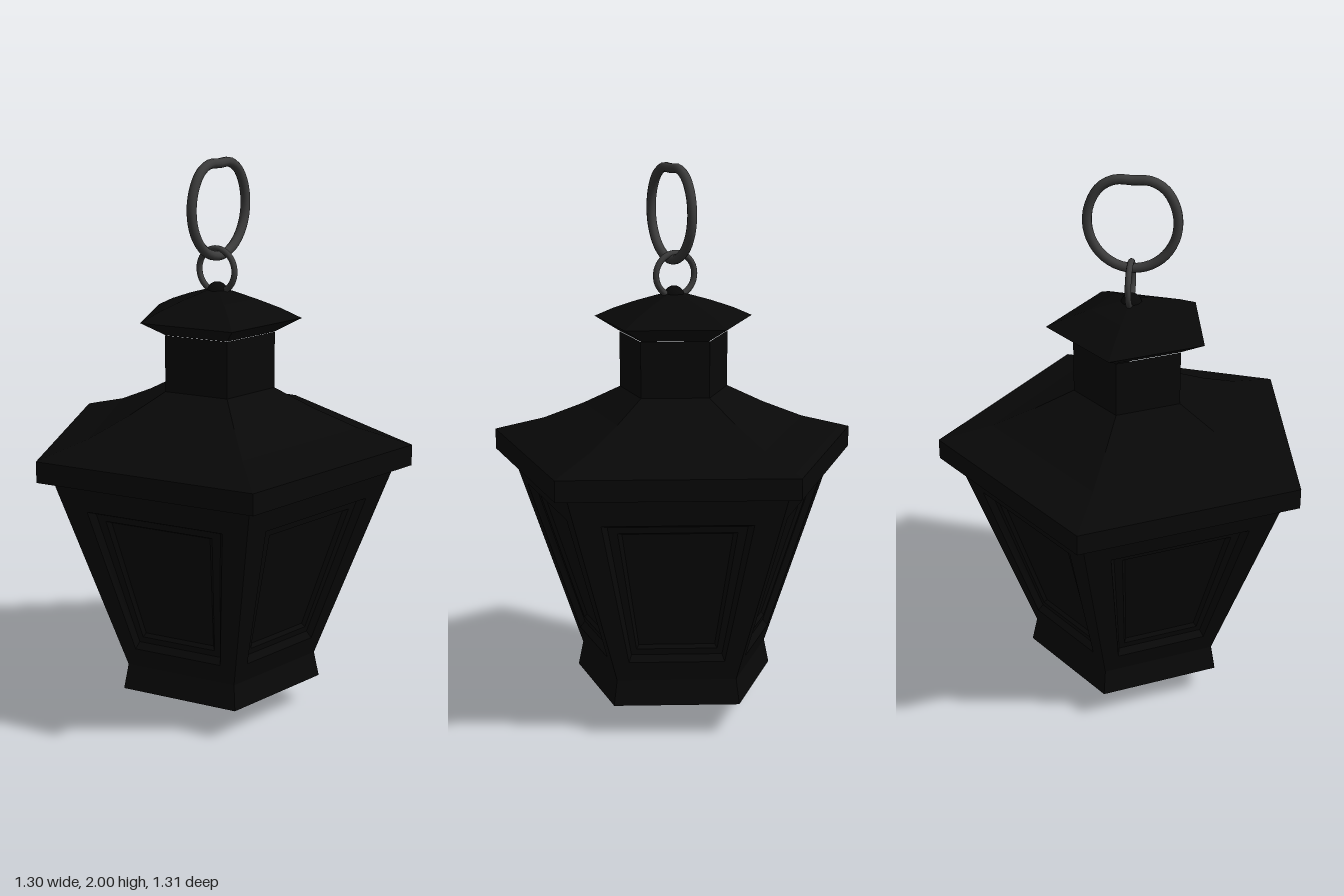
import * as THREE from 'three';

const CX = 0.036, CZ = 0.028;        // vertical axis of the lantern
const SIDES = 5, START = THREE.MathUtils.degToRad(46);

const blackIron = new THREE.MeshStandardMaterial({ color: 0x080808 });
const greyIron = new THREE.MeshStandardMaterial({ color: 0x3c3c3c });

// Five-sided solid from a [radius, height] profile, bottom to top, flat faces
function pentagonal(name, profile) {
  const points = profile.map(([r, y]) => new THREE.Vector2(r, y));
  const geo = new THREE.LatheGeometry(points, SIDES, START).toNonIndexed();
  geo.computeVertexNormals();
  const mesh = new THREE.Mesh(geo, blackIron);
  mesh.name = name;
  return mesh;
}

const corner = (i, r, y) => {
  const a = START + (i * Math.PI * 2) / SIDES;
  return new THREE.Vector3(r * Math.sin(a), y, r * Math.cos(a));
};

// One sloping wall: frame, bevelled recess, inner step and pane as nested loops
function wallPanel(i) {
  const y0 = 0.205, y1 = 0.89, r0 = 0.36, r1 = 0.617;
  const a = corner(i, r0, y0), b = corner(i + 1, r0, y0);
  const c = corner(i + 1, r1, y1), d = corner(i, r1, y1);
  const normal = b.clone().sub(a).cross(d.clone().sub(a)).normalize();
  const at = (u, v, depth) => a.clone().lerp(b, u)
    .lerp(d.clone().lerp(c, u), v).addScaledVector(normal, -depth);
  // [side margin, bottom margin, top margin, depth]
  const loops = [
    [0, 0, 0, 0], [0.13, 0.11, 0.09, 0], [0.155, 0.135, 0.115, 0.022],
    [0.20, 0.17, 0.15, 0.022], [0.22, 0.185, 0.165, 0.034],
  ].map(([s, lo, hi, depth]) => [
    at(s, lo, depth), at(1 - s, lo, depth), at(1 - s, 1 - hi, depth), at(s, 1 - hi, depth),
  ]);
  const pos = [];
  const quad = (p, q, r, s) => [p, q, r, p, r, s].forEach((v) => pos.push(v.x, v.y, v.z));
  for (let k = 0; k < loops.length - 1; k++) {
    for (let j = 0; j < 4; j++) {
      const n = (j + 1) % 4;
      quad(loops[k][j], loops[k][n], loops[k + 1][n], loops[k + 1][j]);
    }
  }
  quad(...loops[loops.length - 1]);
  const geo = new THREE.BufferGeometry();
  geo.setAttribute('position', new THREE.Float32BufferAttribute(pos, 3));
  geo.computeVertexNormals();
  const mesh = new THREE.Mesh(geo, blackIron);
  mesh.name = 'wallPanel' + (i + 1);
  return mesh;
}

// Closed wire ring through points given by an angle
function ring(name, pointAt, radius) {
  const pts = Array.from({ length: 16 }, (_, i) => pointAt((i / 16) * Math.PI * 2));
  const curve = new THREE.CatmullRomCurve3(pts, true);
  const mesh = new THREE.Mesh(new THREE.TubeGeometry(curve, 48, radius, 10, true), greyIron);
  mesh.name = name;
  return mesh;
}

export function createModel() {
  const model = new THREE.Group();
  model.name = 'hangingLantern';

  const body = new THREE.Group();
  body.name = 'lanternBody';
  body.position.set(CX, 0, CZ);
  model.add(body);

  // Pointed foot and flared base
  body.add(pentagonal('foot', [[0, 0], [0.15, 0.045], [0.175, 0.085], [0.21, 0.115]]));
  body.add(pentagonal('base', [[0.2, 0.115], [0.379, 0.115], [0.36, 0.205]]));

  // Five tapered walls with recessed panes
  for (let i = 0; i < SIDES; i++) body.add(wallPanel(i));

  // Moulding, eave and sweeping roof
  body.add(pentagonal('moulding', [[0.617, 0.89], [0.628, 0.92], [0.65, 0.935]]));
  body.add(pentagonal('roof', [
    [0.64, 0.935], [0.694, 0.935], [0.694, 1.01], [0.66, 1.02],
    [0.5, 1.065], [0.345, 1.13], [0.204, 1.2],
  ]));

  // Chimney and its cap
  body.add(pentagonal('chimney', [[0.204, 1.2], [0.204, 1.4]]));
  body.add(pentagonal('chimneyCap', [
    [0.2, 1.4], [0.298, 1.452], [0.225, 1.485], [0.14, 1.515], [0.04, 1.545], [0, 1.55],
  ]));

  // Knob that holds the hanging rings
  const knob = new THREE.Mesh(new THREE.SphereGeometry(0.038, 16, 10), blackIron);
  knob.name = 'knob';
  knob.position.y = 1.535;
  body.add(knob);

  // Small link facing front, large hanging ring facing sideways with a flattened top
  model.add(ring('smallLink', (t) => new THREE.Vector3(
    0.032 + 0.076 * Math.cos(t), 1.612 + 0.076 * Math.sin(t), 0.025), 0.011));
  model.add(ring('hangingRing', (t) => new THREE.Vector3(
    0.045, 1.835 + Math.min(0.17 * Math.sin(t), 0.148), 0.03 + 0.156 * Math.cos(t)), 0.017));

  return model;
}
